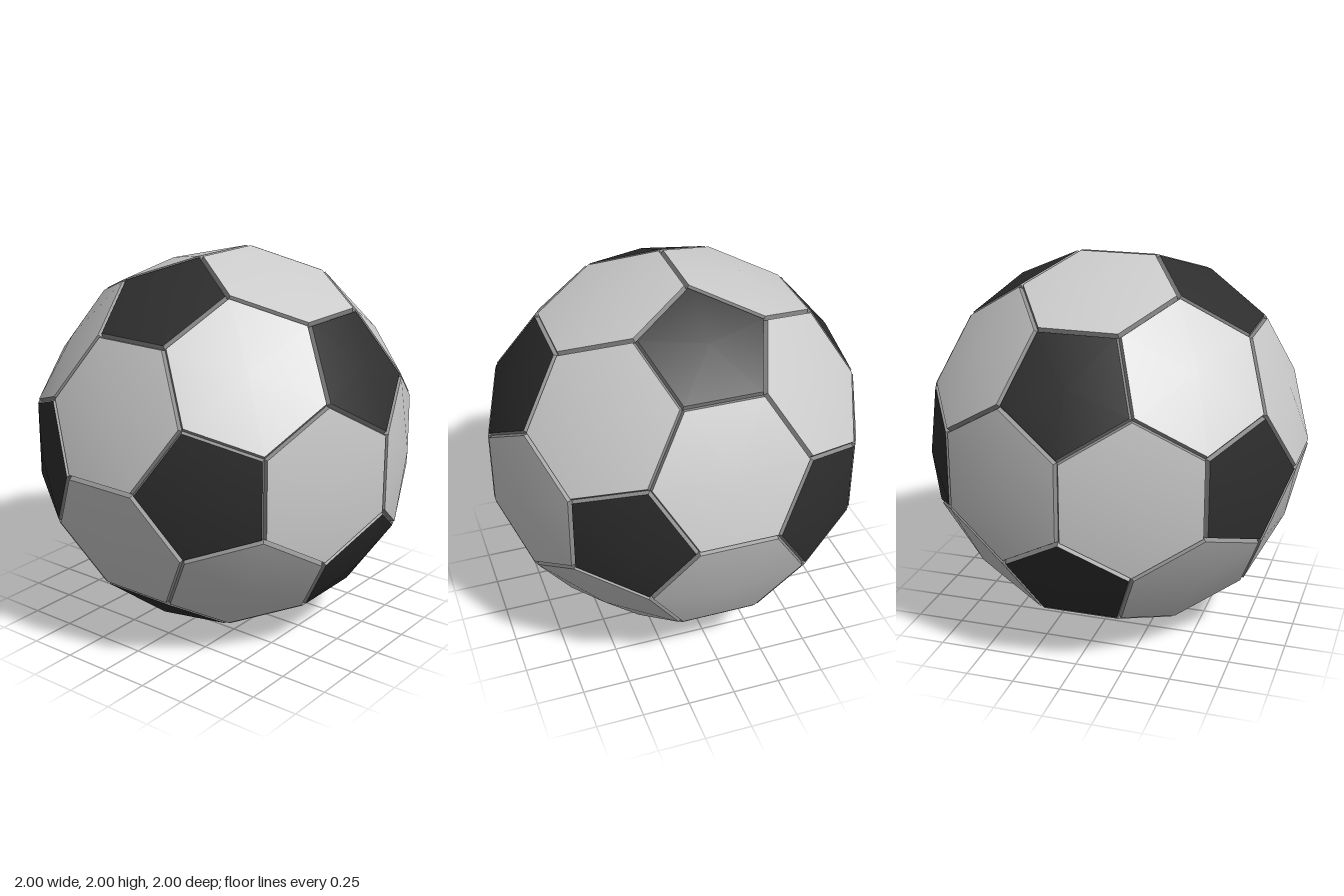
import * as THREE from 'three';
import { mergeGeometries } from 'three/addons/utils/BufferGeometryUtils.js';

const R = 1.0197;        // radius of the panel corners
const SEAM_R = 0.998;    // radius of the seam bottoms
const SEAM_HALF = 0.0125; // half the seam width

// Twelve icosahedron corners: the pentagon centres
function icoCorners() {
  const phi = (1 + Math.sqrt(5)) / 2, list = [];
  for (const a of [-1, 1]) for (const b of [-phi, phi]) {
    list.push(new THREE.Vector3(a, 0, b), new THREE.Vector3(0, b, a), new THREE.Vector3(b, a, 0));
  }
  return list;
}

// Put corners in counter-clockwise order seen from outside
function sortAround(points, axis) {
  const n = axis.clone().normalize();
  const u = points[0].clone().addScaledVector(n, -points[0].dot(n)).normalize();
  const v = n.clone().cross(u);
  const angle = (p) => Math.atan2(p.dot(v), p.dot(u));
  return points.sort((p, q) => angle(p) - angle(q));
}

function geometryFrom(points, index) {
  const g = new THREE.BufferGeometry().setFromPoints(points);
  if (index) g.setIndex(index);
  g.computeVertexNormals();
  return g;
}

// One face: a domed panel fan and its sloping seam walls
function buildFace(corners, domeRadius) {
  const n = corners.length;
  const outer = corners.map((p) => p.clone().setLength(R));
  const centre = new THREE.Vector3();
  outer.forEach((p) => centre.addScaledVector(p, 1 / n));
  const apothem = outer[0].distanceTo(outer[1]) / (2 * Math.tan(Math.PI / n));
  const rim = outer.map((p) => p.clone().lerp(centre, SEAM_HALF / apothem).setLength(R));
  const low = outer.map((p) => p.clone().setLength(SEAM_R));

  const fan = [], walls = [];
  for (let i = 0; i < n; i++) {
    const j = (i + 1) % n;
    fan.push(i, j, n);
    walls.push(low[i], low[j], rim[j], low[i], rim[j], rim[i]);
  }
  return {
    panel: geometryFrom([...rim, centre.clone().setLength(domeRadius)], fan),
    walls: geometryFrom(walls),
  };
}

export function createModel() {
  const ball = new THREE.Group();
  ball.name = 'ball';
  const light = new THREE.MeshStandardMaterial({ color: 0xcccccc });
  const dark = new THREE.MeshStandardMaterial({ color: 0x2e2e2e });
  const seamGrey = new THREE.MeshStandardMaterial({ color: 0x909090, flatShading: true });

  const ico = icoCorners();
  const near = (a, b) => Math.abs(a.distanceTo(b) - 2) < 0.01;
  const third = (a, b) => a.clone().lerp(b, 1 / 3);
  const seams = [];
  const pentagons = new THREE.Group();
  pentagons.name = 'pentagonPanels';
  const hexagons = new THREE.Group();
  hexagons.name = 'hexagonPanels';

  function addPanel(group, name, material, corners, axis, domeRadius) {
    const face = buildFace(sortAround(corners, axis), domeRadius);
    const mesh = new THREE.Mesh(face.panel, material);
    mesh.name = name;
    group.add(mesh);
    seams.push(face.walls);
  }

  // Dark pentagons, one at each icosahedron corner
  for (const a of ico) {
    const corners = ico.filter((b) => near(a, b)).map((b) => third(a, b));
    addPanel(pentagons, 'pentagonPanel', dark, corners, a, 1.01);
  }

  // Light hexagons, one on each icosahedron face
  for (let i = 0; i < 12; i++) for (let j = i + 1; j < 12; j++) for (let k = j + 1; k < 12; k++) {
    const [a, b, c] = [ico[i], ico[j], ico[k]];
    if (!near(a, b) || !near(b, c) || !near(a, c)) continue;
    const corners = [third(a, b), third(b, a), third(b, c), third(c, b), third(c, a), third(a, c)];
    addPanel(hexagons, 'hexagonPanel', light, corners, a.clone().add(b).add(c), 0.989);
  }

  // V-shaped seams between all panels
  const seamMesh = new THREE.Mesh(mergeGeometries(seams), seamGrey);
  seamMesh.name = 'seams';

  ball.add(pentagons, hexagons, seamMesh);
  ball.position.y = 1;
  const model = new THREE.Group();
  model.name = 'football';
  model.add(ball);
  return model;
}
